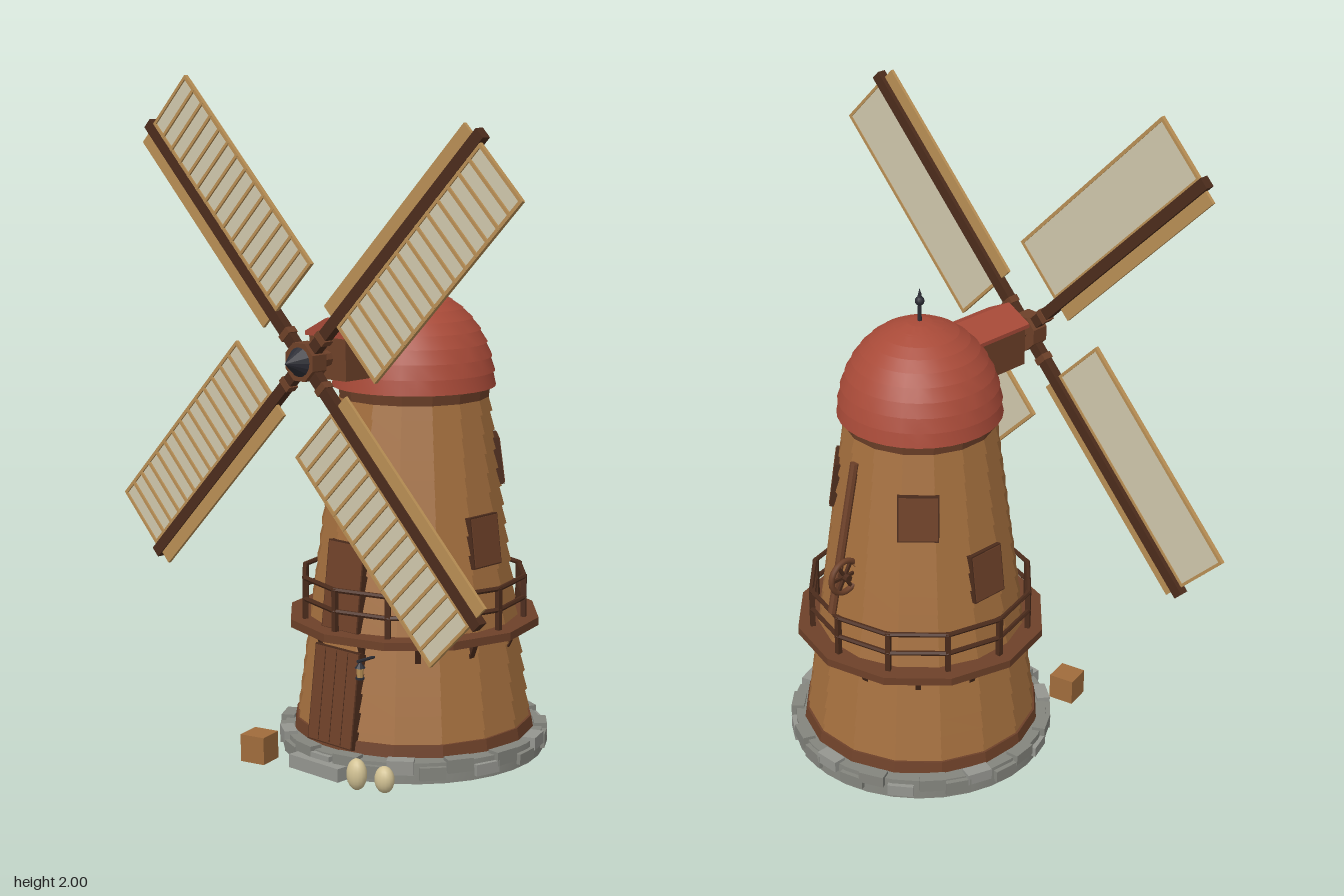
import * as THREE from 'three';
import { toCreasedNormals } from 'three/addons/utils/BufferGeometryUtils.js';

const paint = (name, color) => {
  const m = new THREE.MeshStandardMaterial({ color });
  m.name = name;
  return m;
};

export function createModel() {
  const C = {
    wall: paint('wall planks', 0xa06c3c),
    trim: paint('brown trim', 0x6e4129),
    dark: paint('dark timber', 0x4c2c1c),
    roof: paint('red roof', 0xa84a38),
    stone: paint('stone', 0x84857e),
    paleStone: paint('pale stone', 0x959690),
    tan: paint('tan wood', 0xb98f55),
    cloth: paint('sail cloth', 0xd0c8ac),
    sack: paint('sack', 0xd2c294),
    iron: paint('iron', 0x2c2d35),
  };
  const model = new THREE.Group();
  const CZ = -0.06; // tower axis
  const tower = new THREE.Group();
  tower.name = 'tower';
  tower.position.z = CZ;
  model.add(tower);

  const add = (parent, name, geo, mat, x = 0, y = 0, z = 0) => {
    const m = new THREE.Mesh(geo, mat);
    m.name = name;
    m.position.set(x, y, z);
    parent.add(m);
    return m;
  };
  const box = (w, h, d) => new THREE.BoxGeometry(w, h, d);
  const sharp = (g, a = 0.1) => toCreasedNormals(g, a);
  const cyl = (rt, rb, h, n) => sharp(new THREE.CylinderGeometry(rt, rb, h, n), n > 16 ? 0.5 : 0.1);
  const lathe = (pts, n) => new THREE.LatheGeometry(pts.map(p => new THREE.Vector2(...p)), n);
  const rod = (parent, name, a, b, r, mat) => {
    const A = new THREE.Vector3(...a), B = new THREE.Vector3(...b);
    const m = add(parent, name, cyl(r, r, A.distanceTo(B), 8), mat);
    m.position.copy(A).lerp(B, 0.5);
    m.quaternion.setFromUnitVectors(new THREE.Vector3(0, 1, 0), B.sub(A).normalize());
    return m;
  };
  // group on the tower axis turned to face one direction
  const facing = (name, angle) => {
    const g = new THREE.Group();
    g.name = name;
    g.rotation.y = angle;
    tower.add(g);
    return g;
  };

  // stone plinth with a ring of uneven blocks
  add(tower, 'plinth', cyl(0.39, 0.395, 0.06, 32), C.stone, 0, 0.03, 0);
  let seed = 7;
  const rand = () => (seed = (seed * 16807) % 2147483647) / 2147483647;
  for (let i = 0; i < 30; i++) {
    const g = facing('plinthStone', (i + 0.3 * rand()) * Math.PI / 15);
    const h = 0.03 + 0.015 * rand();
    add(g, 'stoneBlock', box(0.078, h, 0.04), i % 3 ? C.stone : C.paleStone, 0, i % 2 ? 0.07 - h / 2 : h / 2 + 0.012, 0.383);
  }
  add(model, 'doorStep', box(0.2, 0.04, 0.1), C.paleStone, 0, 0.02, 0.318);

  // tapering plank wall: each course overlaps the one below
  const wallR = y => 0.345 - 0.129 * (y - 0.1);
  const k = 1 / Math.cos(Math.PI / 16);
  const courses = 18, y0 = 0.07, y1 = 1.08, step = (y1 - y0) / courses;
  const profile = [];
  for (let i = 0; i < courses; i++) {
    const a = y0 + i * step, b = a + step;
    profile.push([(wallR(a) + 0.004) * k, a], [(wallR(b) - 0.004) * k, b]);
  }
  const wall = add(tower, 'plankWall', sharp(lathe(profile, 16)), C.wall);
  wall.rotation.y = Math.PI / 16;
  add(tower, 'skirting', cyl(0.358, 0.364, 0.035, 16), C.trim, 0, 0.083, 0).rotation.y = Math.PI / 16;
  add(tower, 'topCollar', cyl(0.228, 0.222, 0.045, 16), C.trim, 0, 1.08, 0).rotation.y = Math.PI / 16;

  // doors and shuttered windows lying on the sloping wall
  const panel = (name, angle, y, w, h) => {
    const g = facing(name, angle);
    const p = new THREE.Group();
    p.position.set(0, y, wallR(y));
    p.rotation.x = -0.128;
    g.add(p);
    add(p, name + 'Frame', box(w, h, 0.026), C.dark);
    add(p, name + 'Panel', box(w - 0.008, h - 0.008, 0.03), C.trim);
    return p;
  };
  const door = panel('door', 0, 0.215, 0.18, 0.285);
  for (const x of [-0.045, 0, 0.045]) add(door, 'doorGroove', box(0.002, 0.27, 0.002), C.dark, x, 0, 0.015);
  panel('galleryDoor', 0, 0.535, 0.145, 0.26);
  panel('frontWindow', 0, 0.84, 0.125, 0.145);
  for (const s of [-1, 1]) {
    panel('sideWindow', s * Math.PI / 2, 0.665, 0.12, 0.15);
    panel('backWindow', s * Math.PI * 0.75, 0.875, 0.12, 0.14);
  }

  // gallery deck, railing and brackets
  add(tower, 'galleryDeck', cyl(0.38, 0.38, 0.024, 12), C.trim, 0, 0.398, 0);
  for (const y of [0.47, 0.533]) {
    const rail = add(tower, 'galleryRail', sharp(new THREE.TorusGeometry(0.337, 0.0075, 6, 12)), C.dark, 0, y, 0);
    rail.rotation.x = Math.PI / 2;
  }
  for (let i = 0; i < 12; i++) {
    const g = facing('galleryPost', i * Math.PI / 6);
    add(g, 'post', box(0.015, 0.135, 0.015), C.dark, 0, 0.47, 0.335);
    const b = facing('galleryBracket', (i + 0.5) * Math.PI / 6);
    add(b, 'bracket', box(0.016, 0.07, 0.016), C.dark, 0, 0.36, 0.318).rotation.x = 0.45;
  }

  // shingled dome with finial
  const dome = [[0.2, 1.095]];
  const rows = 10;
  for (let i = 0; i < rows; i++) {
    const a = (i / rows) * Math.PI / 2, b = ((i + 1) / rows) * Math.PI / 2;
    dome.push([0.236 * Math.cos(a) + 0.007, 1.1 + 0.282 * Math.sin(a) - 0.003]);
    dome.push([Math.max(0, 0.236 * Math.cos(b)), 1.1 + 0.282 * Math.sin(b)]);
  }
  add(tower, 'domeRoof', sharp(lathe(dome, 32), 0.4), C.roof);
  add(tower, 'finialRod', cyl(0.005, 0.006, 0.09, 8), C.iron, 0, 1.42, 0);
  add(tower, 'finialBall', new THREE.SphereGeometry(0.014, 12, 8), C.iron, 0, 1.442, 0);
  add(tower, 'finialTip', cyl(0, 0.007, 0.03, 8), C.iron, 0, 1.467, 0);

  // gabled housing for the sail shaft
  add(model, 'shaftHousing', box(0.145, 0.13, 0.29), C.trim, 0, 1.215, 0.155);
  const gable = new THREE.Shape([[-0.084, 1.27], [0.084, 1.27], [0.084, 1.282], [0, 1.325], [-0.084, 1.282]].map(p => new THREE.Vector2(...p)));
  add(model, 'housingRoof', new THREE.ExtrudeGeometry(gable, { depth: 0.305, bevelEnabled: false }), C.roof);
  rod(model, 'sailShaft', [0, 1.21, 0.2], [0, 1.21, 0.37], 0.023, C.trim);

  // sail wheel
  const wheel = new THREE.Group();
  wheel.name = 'sailWheel';
  wheel.position.set(0, 1.21, 0.39);
  model.add(wheel);
  add(wheel, 'hub', cyl(0.058, 0.058, 0.055, 8), C.trim, 0, 0, -0.005).rotation.set(Math.PI / 2, Math.PI / 8, 0);
  add(wheel, 'hubNose', cyl(0, 0.042, 0.055, 16), C.iron, 0, 0, 0.05).rotation.x = Math.PI / 2;
  for (let i = 0; i < 4; i++) {
    const sail = new THREE.Group();
    sail.name = 'sail';
    sail.rotation.z = Math.PI / 4 + i * Math.PI / 2;
    wheel.add(sail);
    add(sail, 'arm', box(0.034, 0.915, 0.028), C.dark, 0, 0.4575, -0.005);
    add(sail, 'armStrap', box(0.042, 0.02, 0.034), C.trim, 0, 0.1, -0.005);
    add(sail, 'leadingBoard', box(0.042, 0.72, 0.01), C.tan, -0.036, 0.533, 0);
    add(sail, 'cloth', box(0.198, 0.72, 0.005), C.cloth, 0.117, 0.533, 0);
    for (const x of [0.021, 0.214]) add(sail, 'sailEdge', box(0.01, 0.725, 0.012), C.tan, x, 0.533, 0.001);
    for (let j = 0; j < 15; j++) {
      const end = j % 14 === 0;
      add(sail, 'sailBar', box(0.2, 0.009, end ? 0.012 : 0.006), C.tan, 0.117, 0.175 + j * 0.0512, end ? 0.001 : 0.005);
    }
  }

  // tail pole with winding wheel at the back
  rod(model, 'tailPole', [0.025, 1.0, -0.295], [0.025, 0.54, -0.395], 0.013, C.trim);
  const winch = new THREE.Group();
  winch.name = 'windingWheel';
  winch.position.set(0, 0.66, -0.365);
  winch.rotation.y = Math.PI / 2;
  model.add(winch);
  add(winch, 'wheelRim', new THREE.TorusGeometry(0.051, 0.009, 8, 20), C.trim);
  for (let i = 0; i < 3; i++) add(winch, 'wheelSpoke', box(0.1, 0.009, 0.009), C.dark).rotation.z = i * Math.PI / 3;
  rod(model, 'wheelAxle', [-0.02, 0.66, -0.365], [0.04, 0.66, -0.365], 0.012, C.dark);

  // lantern beside the door
  rod(model, 'lanternBracket', [0.11, 0.345, 0.22], [0.11, 0.345, 0.295], 0.005, C.iron);
  add(model, 'lanternGlass', cyl(0.011, 0.009, 0.03, 8), C.tan, 0.11, 0.31, 0.285);
  add(model, 'lanternTop', cyl(0.004, 0.016, 0.015, 8), C.iron, 0.11, 0.332, 0.285);
  add(model, 'lanternFoot', cyl(0.013, 0.013, 0.006, 8), C.iron, 0.11, 0.294, 0.285);

  // crate and sacks
  add(model, 'crate', box(0.08, 0.082, 0.08), C.wall, -0.215, 0.041, 0.378).rotation.y = 0.25;
  for (const [x, z, r, h] of [[0.18, 0.372, 0.032, 0.046], [0.255, 0.337, 0.031, 0.039]]) {
    add(model, 'sack', new THREE.SphereGeometry(1, 16, 12), C.sack, x, h, z).scale.set(r, h, r * 0.85);
  }
  return model;
}
